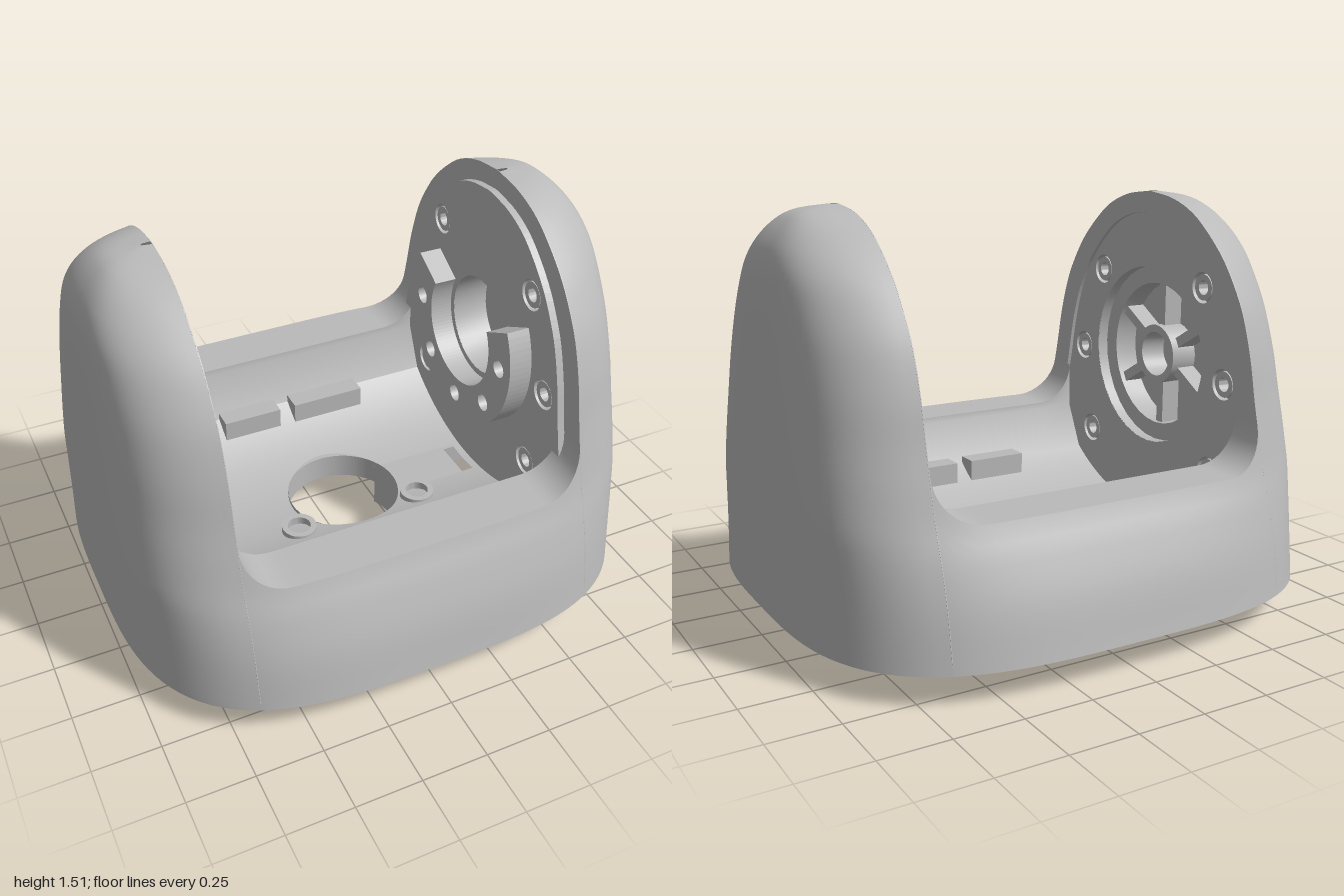
import * as THREE from 'three';
import { toCreasedNormals } from 'three/addons/utils/BufferGeometryUtils.js';

const grey = new THREE.MeshStandardMaterial({ color: 0xbababa, side: THREE.DoubleSide });
grey.name = 'housing grey';

const IN = 0.66;     // inner face of the arms
const AXIS = 0.855;  // height of the pivot axis
const BASE = 0.11, TOP = 1.515;

// Smooth interpolation through [y, value] pairs
function curve(pts) {
  const slope = (i) => {
    const a = pts[Math.max(i - 1, 0)], b = pts[Math.min(i + 1, pts.length - 1)];
    return (b[1] - a[1]) / (b[0] - a[0]);
  };
  return (y) => {
    let i = 0;
    while (i < pts.length - 2 && y > pts[i + 1][0]) i++;
    const h = pts[i + 1][0] - pts[i][0];
    const t = Math.min(Math.max((y - pts[i][0]) / h, 0), 1), t2 = t * t, t3 = t2 * t;
    return pts[i][1] * (2 * t3 - 3 * t2 + 1) + slope(i) * h * (t3 - 2 * t2 + t)
      + pts[i + 1][1] * (3 * t2 - 2 * t3) + slope(i + 1) * h * (t3 - t2);
  };
}
// Bell half-depth at the arm rim, half-width, and squareness of each level section
const rim = curve([[0.11, 0.837], [0.3, 0.805], [0.45, 0.766], [0.555, 0.73], [0.7, 0.693], [0.8, 0.668], [0.95, 0.635],
  [1.1, 0.585], [1.2, 0.53], [1.3, 0.455], [1.4, 0.345], [1.46, 0.25], [1.5, 0.13], [TOP, 0.01]]);
const halfX = curve([[0.11, 1], [0.6, 0.985], [1, 0.967], [1.25, 0.953], [1.33, 0.941], [1.4, 0.912], [1.47, 0.853], [1.5, 0.795], [TOP, 0.7]]);
const power = curve([[0.11, 3.3], [0.3, 3.5], [0.45, 3.9], [0.555, 4.3], [0.9, 4.1], [1.2, 3.6], [TOP, 3]]);
const arc = (c, n) => Math.pow(Math.max(1 - Math.pow(c, n), 1e-6), 1 / n);
const halfZ = (y) => rim(y) / arc(IN / halfX(y), power(y));

// Point on the outer skin at height y and section angle a
function skin(y, a, s = 1) {
  const n = power(y), c = Math.cos(a), d = Math.sin(a);
  const k = s * Math.pow(Math.abs(c) ** n + Math.abs(d) ** n, -1 / n);
  return [halfX(y) * k * c, y, halfZ(y) * k * d];
}

// Surface from a rule p(u, v) on the unit square
function sheet(nu, nv, p) {
  const pos = [], idx = [];
  for (let j = 0; j <= nv; j++) for (let i = 0; i <= nu; i++) pos.push(...p(i / nu, j / nv));
  for (let j = 0; j < nv; j++) for (let i = 0; i < nu; i++) {
    const a = j * (nu + 1) + i, b = a + nu + 1;
    idx.push(a, a + 1, b + 1, a, b + 1, b);
  }
  const g = new THREE.BufferGeometry();
  g.setAttribute('position', new THREE.Float32BufferAttribute(pos, 3));
  g.setIndex(idx);
  return toCreasedNormals(g, 0.6);
}

function add(parent, name, geo, x = 0, y = 0, z = 0) {
  const m = new THREE.Mesh(geo, grey);
  m.name = name;
  m.position.set(x, y, z);
  parent.add(m);
  return m;
}

const extrude = (shape, depth) => new THREE.ExtrudeGeometry(shape, { depth, bevelEnabled: false, curveSegments: 32 });
const polygon = (pts) => pts.map(([a, b]) => new THREE.Vector2(a, b));
const rect = (x, z, w, d) => new THREE.Path(polygon([[x - w / 2, z - d / 2], [x + w / 2, z - d / 2], [x + w / 2, z + d / 2], [x - w / 2, z + d / 2]]));
const circle = (x, y, r) => new THREE.Path().absarc(x, y, r, 0, Math.PI * 2, true);

// Hollow round boss standing on the y axis
function ring(ri, ro, h) {
  const g = new THREE.LatheGeometry(polygon([[ri, 0], [ro, 0], [ro, h], [ri, h], [ri, 0]]), 32);
  return toCreasedNormals(g, 0.6);
}

// C-shaped coupling with screw holes, open towards +y of its shape
function coupling(depth) {
  const s = new THREE.Shape(), e = 0.49;
  s.absarc(0, 0, 0.38, Math.PI - e, Math.PI * 2 + e, false);
  s.absarc(0, 0, 0.225, Math.PI * 2 + e, Math.PI - e, true);
  for (let i = 0; i < 5; i++) {
    const a = Math.PI * (1 + i / 4);
    s.holes.push(circle(Math.cos(a) * 0.3, Math.sin(a) * 0.3, 0.035));
  }
  return extrude(s, depth);
}

// Bell outline in (z, y), drawn inset from the arm rim
function bell(inset, bottom) {
  const top = TOP - inset * 0.9, pts = [], N = 44;
  for (let i = 0; i <= N; i++) {
    const t = Math.sin(i / N * Math.PI / 2), y = bottom + (top - bottom) * t;
    const src = bottom + (TOP - bottom) * t;
    pts.push([Math.max(rim(src) * (1 - inset * 1.6), 0.003), y]);
  }
  return polygon([...pts, ...pts.slice().reverse().map(([z, y]) => [-z, y])]);
}

// Inner side of an arm, built for +x: flat rim, lip and mounting plate
function armFace(parent, plateX, bore) {
  for (const [name, inset, depth] of [['armRim', 0, 0.003], ['rimLip', 0.06, 0.04]]) {
    const band = new THREE.Shape(bell(inset, 0.14));
    band.holes.push(new THREE.Path(bell(0.09, 0.22)));
    add(parent, name, extrude(band, depth).rotateY(Math.PI / 2), IN);
  }
  const plate = new THREE.Shape(bell(0.085, 0.2));
  plate.holes.push(circle(0, AXIS, bore));
  for (const [z, y] of [[0.33, 1.17], [0.47, 0.82], [0.4, 0.46]]) for (const s of [-1, 1]) {
    plate.holes.push(circle(s * z, y, 0.06));
    add(parent, 'screwBoss', ring(0.028, 0.05, 0.05).rotateZ(Math.PI / 2), plateX + 0.055, y, s * z);
    add(parent, 'screwSeat', ring(0.028, 0.065, 0.02).rotateZ(Math.PI / 2), plateX + 0.055, y, s * z);
  }
  add(parent, 'mountingPlate', extrude(plate, 0.04).rotateY(Math.PI / 2), plateX);
  // Bore wall and its closed end
  add(parent, 'boreWall', ring(bore, bore + 0.02, 0.15).rotateZ(-Math.PI / 2), plateX + 0.001, AXIS);
  add(parent, 'boreEnd', new THREE.CircleGeometry(bore + 0.01, 40).rotateY(-Math.PI / 2), plateX + 0.15, AXIS);
}

// Layer of the underside, pierced by corner pockets, vents and slits
function undersideLayer(scale, depth) {
  const outline = [];
  for (let i = 0; i < 120; i++) {
    const [x, , z] = skin(BASE, i / 60 * Math.PI, scale);
    outline.push([x, z]);
  }
  const layer = new THREE.Shape(polygon(outline));
  layer.holes.push(circle(0.04, 0, 0.225), rect(0.63, 0, 0.14, 0.18));
  for (const sx of [1, -1]) {
    for (const sz of [1, -1]) for (const [a, b] of [[0.52, 0.7], [0.74, 0.87], [0.91, 1.07]]) {
      const corners = [[0.94, a], [0.94, b], [0.76, b], [0.76, a]].map(([s, t]) => skin(BASE, t, s));
      layer.holes.push(new THREE.Path(polygon(corners.map(([x, , z]) => [sx * x, sz * z]))));
    }
    for (let i = -3; i <= 3; i++) layer.holes.push(rect(i * 0.11, sx * 0.82, 0.06, 0.06));
    layer.holes.push(rect(sx * 0.73, 0, 0.012, 0.7));
  }
  return extrude(layer, depth).rotateX(-Math.PI / 2);
}

export function createModel() {
  const model = new THREE.Group();
  model.name = 'pivotHousing';

  // Rounded arms, both from the same skin
  const armSkin = sheet(48, 52, (u, v) => {
    const y = BASE + (TOP - BASE) * Math.sin(v * Math.PI / 2);
    const c = IN / halfX(y), a0 = Math.atan2(arc(c, power(y)), c);
    return skin(y, a0 * (1 - 2 * u));
  });
  for (const s of [1, -1]) add(model, s > 0 ? 'leftArm' : 'rightArm', armSkin).scale.x = s;

  // Low front and back walls with a filleted saddle top and sloped inside
  const wall = sheet(48, 17, (u, v) => {
    const x = IN * Math.sin((2 * u - 1) * Math.PI / 2), row = Math.round(v * 17);
    const f = Math.min(Math.max((Math.abs(x) - 0.5) / 0.16, 0), 1);
    const top = 0.555 + 0.16 * (1 - Math.sqrt(1 - f * f));
    if (row > 14) return [[x, top, 0.565], [x, 0.53, 0.562], [x, 0.36, 0.48]][row - 15];
    const y = BASE + (top - BASE) * row / 14;
    return [x, y, halfZ(y) * arc(Math.abs(x) / halfX(y), power(y))];
  });
  for (const s of [1, -1]) add(model, s > 0 ? 'frontWall' : 'backWall', wall).scale.z = s;

  // Trough floor with a round opening and a cable slot
  add(model, 'troughFloor', sheet(160, 24, (u, v) => {
    const q = u * 4, side = Math.floor(q) % 4, t = (q - Math.floor(q)) * 2 - 1;
    const [ex, ez] = [[1, t], [-t, 1], [-1, -t], [t, -1]][side];
    const X = ex * IN, Z = ez * 0.48, a = Math.atan2(Z, X - 0.04), c = Math.cos(a);
    const slot = c > 0 ? Math.min(0.56 / c, 0.09 / Math.max(Math.abs(Math.sin(a)), 1e-4)) : 0;
    const r = Math.max(0.225, slot);
    const x = (0.04 + r * c) * (1 - v) + X * v, z = r * Math.sin(a) * (1 - v) + Z * v;
    return [x, 1 - Math.sqrt(0.64 - z * z), z];
  }));
  for (const x of [-0.22, 0.3]) add(model, 'floorBoss', ring(0.045, 0.068, 0.06), x, 0.18, 0.15);
  for (const s of [1, -1]) {
    add(model, 'wallTab', new THREE.BoxGeometry(0.245, 0.1, 0.085), -0.19, 0.34, s * 0.44);
    add(model, 'wallTab', new THREE.BoxGeometry(0.31, 0.1, 0.085), 0.155, 0.34, s * 0.44);
  }

  // Underside: closing plate and a deeper layer inside the skin
  add(model, 'undersidePlate', undersideLayer(0.995, 0.015), 0, BASE);
  add(model, 'undersideRibs', undersideLayer(0.965, 0.065), 0, BASE + 0.015);

  // Lower coupling around the central opening
  add(model, 'openingWall', new THREE.CylinderGeometry(0.225, 0.225, 0.1, 48, 1, true), 0.04, 0.165);
  add(model, 'lowerCoupling', coupling(0.12).rotateX(-Math.PI / 2), 0.04, 0, 0);
  add(model, 'couplingKey', new THREE.BoxGeometry(0.12, 0.065, 0.18), -0.37, 0.08, 0);

  // Drive side: raised plate with the same coupling turned upright
  const drive = new THREE.Group();
  drive.name = 'driveSide';
  armFace(drive, 0.632, 0.2);
  add(drive, 'driveCoupling', coupling(0.1).rotateY(Math.PI / 2), 0.54, AXIS, 0);
  model.add(drive);

  // Bearing side: recessed plate with a spoked bearing seat
  const bearing = new THREE.Group();
  bearing.name = 'bearingSide';
  armFace(bearing, 0.675, 0.36);
  add(bearing, 'bearingStep', ring(0.29, 0.365, 0.1).rotateZ(-Math.PI / 2), 0.72, AXIS);
  add(bearing, 'bearingHub', ring(0.09, 0.12, 0.11).rotateZ(-Math.PI / 2), 0.71, AXIS);
  for (let i = 0; i < 6; i++) {
    const spoke = new THREE.BoxGeometry(0.08, 0.2, 0.04).translate(0, 0.205, 0).rotateX(i * Math.PI / 3);
    add(bearing, 'spoke', spoke, 0.78, AXIS);
  }
  bearing.scale.x = -1;
  model.add(bearing);

  return model;
}
